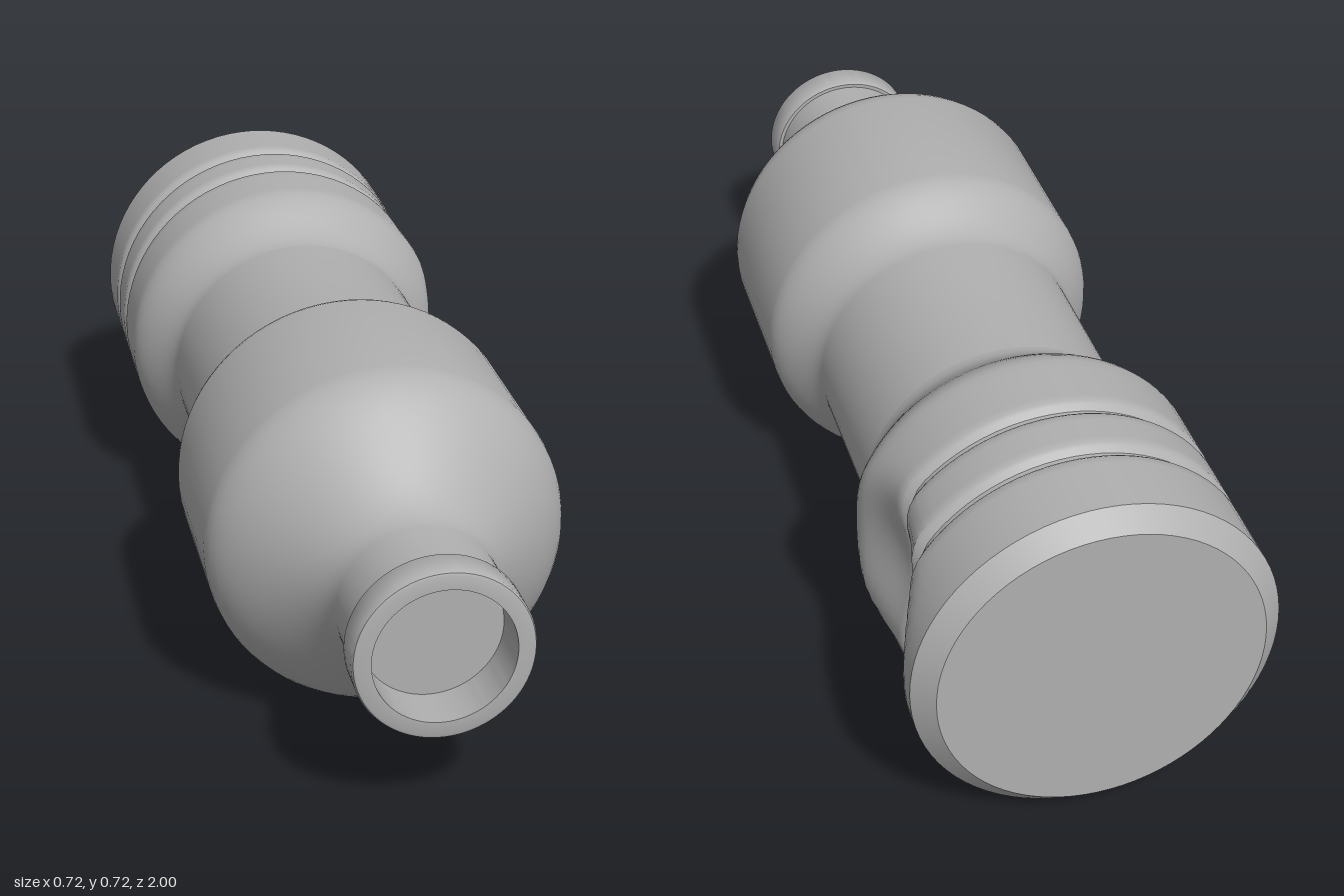
import * as THREE from 'three';
import { mergeVertices, toCreasedNormals } from 'three/addons/utils/BufferGeometryUtils.js';

const AXIS_Y = 0.36; // height of the bottle's long axis
const grey = new THREE.MeshStandardMaterial({ color: 0xb0b0b0 });
grey.name = 'grey';

// S-shaped shoulder between two radii, as [radius, z] points
function shoulder(z0, r0, z1, r1, steps = 12) {
  return Array.from({ length: steps + 1 }, (_, i) => {
    const t = i / steps;
    return [r0 + (r1 - r0) * t * t * (3 - 2 * t), z0 + (z1 - z0) * t];
  });
}

// Shallow rounded groove
function groove(z) {
  return [[0.36, z - 0.022], [0.356, z - 0.015], [0.346, z - 0.005],
    [0.346, z + 0.005], [0.356, z + 0.015], [0.36, z + 0.022]];
}

// Pressed-in dent on the left (+x) side
function dent(x, y, z) {
  if (x <= 0) return x;
  const d = (y * y + (z + 0.68) ** 2) / 0.0625;
  return d < 1 ? x - 0.1 * (1 - d) ** 2 : x;
}

// Revolve a [radius, z] profile around z; dented parts get extra rings
function revolve(name, profile, dented = false) {
  const pts = [new THREE.Vector2(...profile[0])];
  for (let i = 1; i < profile.length; i++) {
    const a = new THREE.Vector2(...profile[i - 1]);
    const b = new THREE.Vector2(...profile[i]);
    const n = dented ? Math.max(1, Math.ceil(a.distanceTo(b) / 0.02)) : 1;
    for (let k = 1; k <= n; k++) pts.push(a.clone().lerp(b, k / n));
  }
  let geo = new THREE.LatheGeometry(pts, 80).rotateX(Math.PI / 2);
  const p = geo.attributes.position;
  if (dented) {
    for (let i = 0; i < p.count; i++) p.setX(i, dent(p.getX(i), p.getY(i), p.getZ(i)));
  }
  // Weld the seam, then smooth all but the sharp edges
  geo.deleteAttribute('uv');
  geo.deleteAttribute('normal');
  geo = toCreasedNormals(mergeVertices(geo, 1e-5), 0.6);
  const mesh = new THREE.Mesh(geo, grey);
  mesh.name = name;
  mesh.position.y = AXIS_Y;
  return mesh;
}

export function createModel() {
  const bottle = new THREE.Group();
  bottle.name = 'bottle';

  // Flat base with its bevel
  bottle.add(revolve('base', [[0, -1], [0.32, -1], [0.36, -0.963]]));

  // Grooved, dented lower body up to the waist
  bottle.add(revolve('lowerBody', [
    [0.36, -0.963], ...groove(-0.8), ...groove(-0.67),
    ...shoulder(-0.52, 0.36, -0.36, 0.282),
  ], true));

  // Waist, upper body, shoulder and neck
  bottle.add(revolve('upperBody', [
    [0.282, -0.36],
    ...shoulder(0.02, 0.282, 0.18, 0.36),
    ...shoulder(0.51, 0.36, 0.8, 0.16, 16),
    [0.16, 0.925],
  ]));

  // Lip ring with a recessed mouth
  bottle.add(revolve('lip', [
    [0.16, 0.925], [0.168, 0.925], [0.172, 0.931], [0.172, 0.992],
    [0.169, 0.998], [0.164, 1], [0.136, 1], [0.136, 0.9], [0, 0.9],
  ]));

  return bottle;
}
